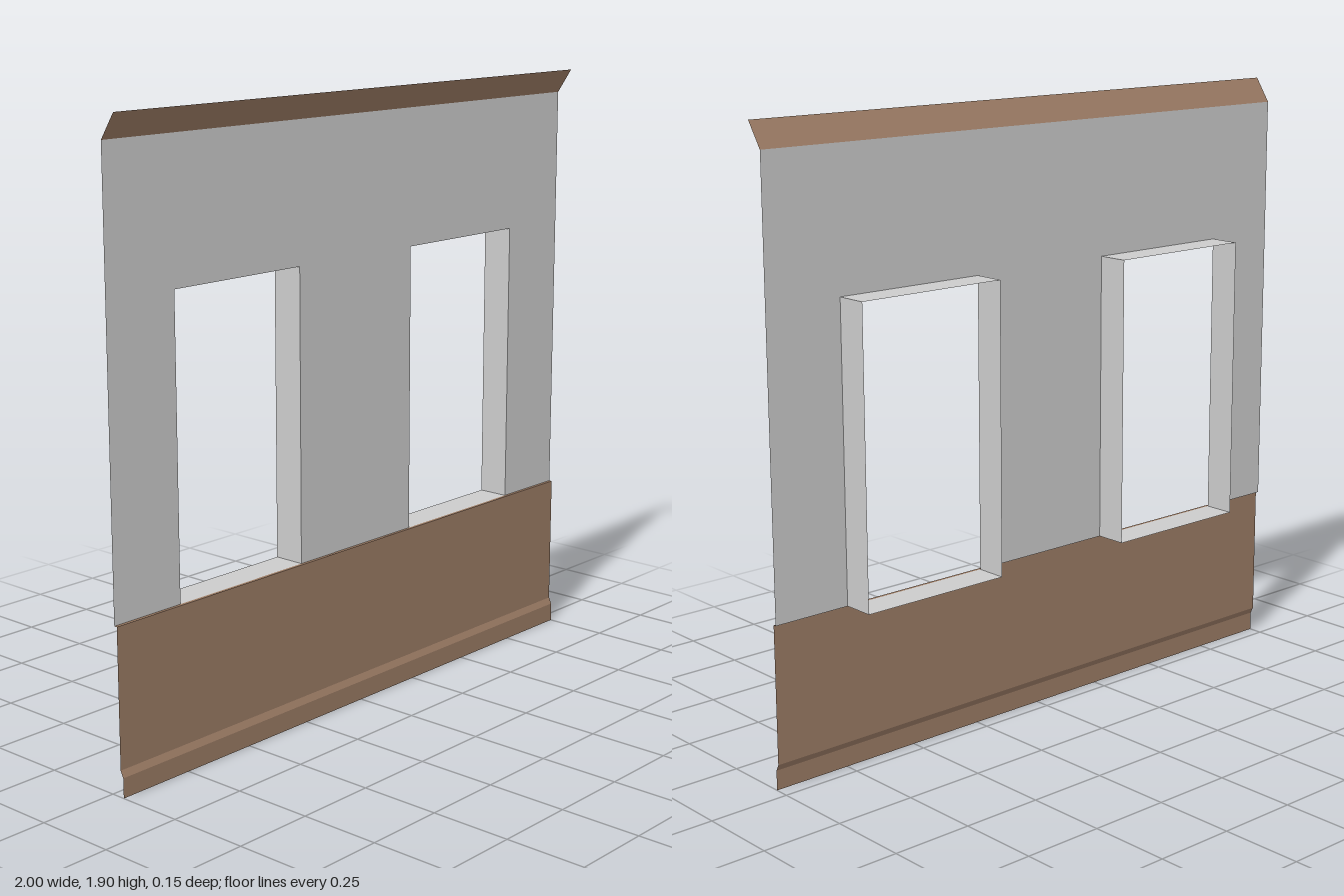
import * as THREE from 'three';

const plaster = new THREE.MeshStandardMaterial({ color: 0xcccccc, side: THREE.DoubleSide });
plaster.name = 'grey plaster';
const wood = new THREE.MeshStandardMaterial({ color: 0x9c7c65, side: THREE.DoubleSide });
wood.name = 'brown wood';

const WALL_Z = 0.025;
const SILL = 0.5, HEAD = 1.4, CORNICE = 1.825;

// Flat-shaded sheet spanning the wall's width, following a [y, z] profile upwards
function sheet(name, profile) {
  const pos = [];
  for (let i = 0; i + 1 < profile.length; i++) {
    const [y0, z0] = profile[i], [y1, z1] = profile[i + 1];
    pos.push(-1, y0, z0, 1, y0, z0, 1, y1, z1, -1, y0, z0, 1, y1, z1, -1, y1, z1);
  }
  const geo = new THREE.BufferGeometry();
  geo.setAttribute('position', new THREE.Float32BufferAttribute(pos, 3));
  geo.computeVertexNormals();
  const mesh = new THREE.Mesh(geo, wood);
  mesh.name = name;
  return mesh;
}

// Four thin sides lining a window opening, running back from the wall
function windowReveal(name, x) {
  const group = new THREE.Group();
  group.name = name;
  const w = 0.5, h = HEAD - SILL, depth = 0.1;
  const add = (part, geo, px, py) => {
    const mesh = new THREE.Mesh(geo, plaster);
    mesh.name = part;
    mesh.position.set(px, py, 0);
    group.add(mesh);
  };
  add('sill', new THREE.PlaneGeometry(w, depth).rotateX(-Math.PI / 2), 0, -h / 2);
  add('head', new THREE.PlaneGeometry(w, depth).rotateX(Math.PI / 2), 0, h / 2);
  add('rightJamb', new THREE.PlaneGeometry(depth, h).rotateY(Math.PI / 2), -w / 2, 0);
  add('leftJamb', new THREE.PlaneGeometry(depth, h).rotateY(-Math.PI / 2), w / 2, 0);
  group.position.set(x, (SILL + HEAD) / 2, WALL_Z - depth / 2);
  return group;
}

export function createModel() {
  const model = new THREE.Group();
  model.name = 'wallWithWindows';

  // Upper wall, notched by the two openings that stand on the panelling
  const outline = new THREE.Shape([
    [-1, SILL], [-0.75, SILL], [-0.75, HEAD], [-0.25, HEAD], [-0.25, SILL],
    [0.25, SILL], [0.25, HEAD], [0.75, HEAD], [0.75, SILL], [1, SILL],
    [1, CORNICE], [-1, CORNICE],
  ].map(([x, y]) => new THREE.Vector2(x, y)));
  const wall = new THREE.Mesh(new THREE.ShapeGeometry(outline), plaster);
  wall.name = 'upperWall';
  wall.position.z = WALL_Z;
  model.add(wall);

  model.add(windowReveal('rightWindowReveal', -0.5), windowReveal('leftWindowReveal', 0.5));

  // Skirting, panelling with its narrow top ledge, and outward-leaning cornice
  model.add(sheet('skirting', [[0, 0.045], [0.06, 0.045], [0.08, 0.035]]));
  model.add(sheet('panelling', [[0.08, 0.035], [SILL, 0.035], [SILL, WALL_Z]]));
  model.add(sheet('cornice', [[CORNICE, WALL_Z], [1.9, 0.075]]));
  return model;
}
